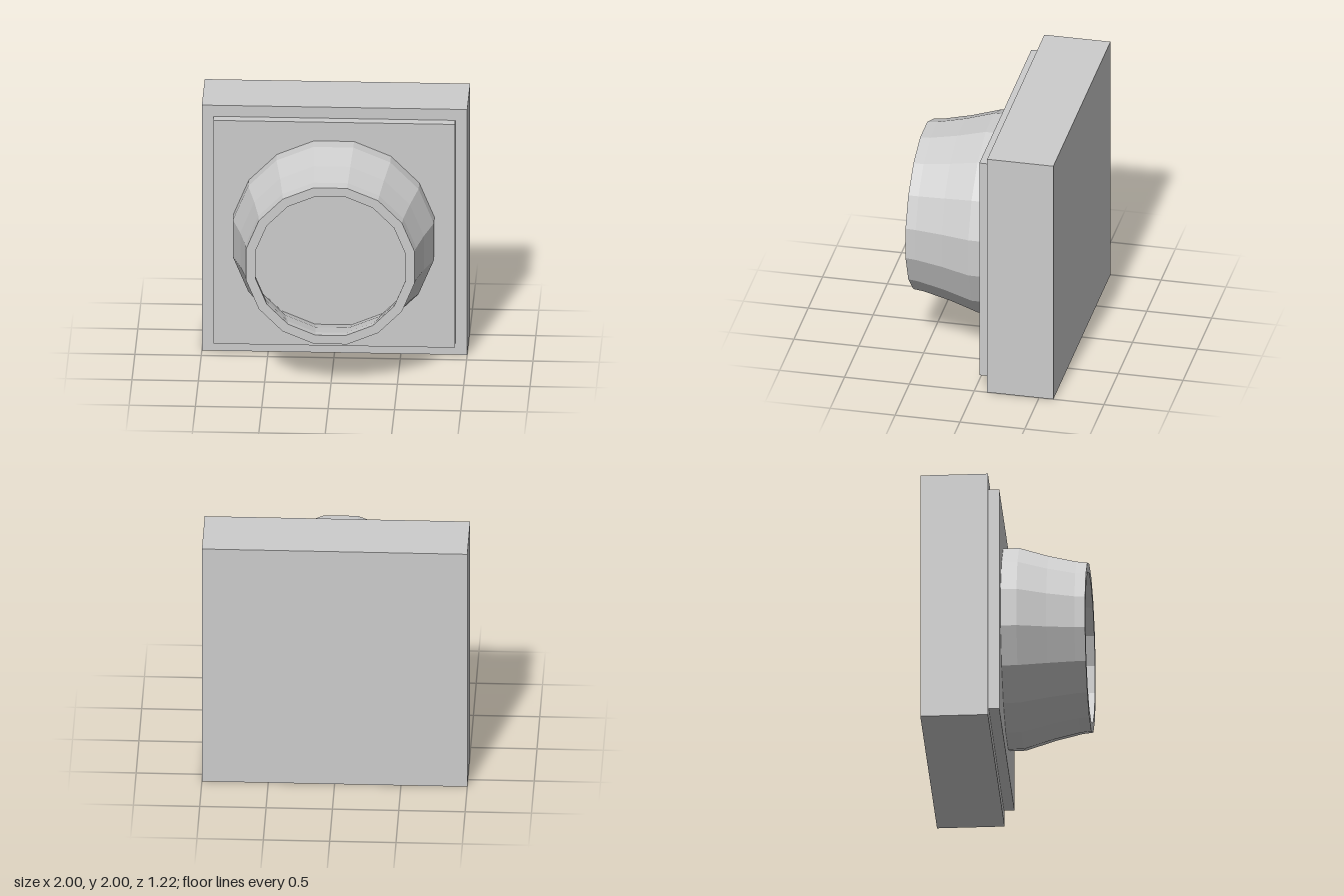
import * as THREE from 'three';

const grey = new THREE.MeshStandardMaterial({ color: 0xcccccc });
grey.name = 'light grey';

function block(name, width, height, zBack, zFront) {
  const mesh = new THREE.Mesh(new THREE.BoxGeometry(width, height, zFront - zBack), grey);
  mesh.name = name;
  mesh.position.set(0, 1, (zBack + zFront) / 2);
  return mesh;
}

export function createModel() {
  const model = new THREE.Group();
  model.name = 'wallSocket';

  // Square body with a slightly smaller raised plate
  model.add(block('body', 2, 2, -0.61, -0.1));
  model.add(block('frontPlate', 1.82, 1.82, -0.1, -0.02));

  // Hollow tapered collar: outer wall, rim, flaring inner wall, floor
  const profile = [
    [0.772, -0.02], [0.772, 0.1], [0.705, 0.32], [0.657, 0.53], [0.648, 0.61],
    [0.576, 0.61], [0.585, 0.53], [0.633, 0.32], [0.705, 0.09], [0, 0.09],
  ].map(([r, z]) => new THREE.Vector2(r, z));
  const geometry = new THREE.LatheGeometry(profile, 16, Math.PI / 16).toNonIndexed();
  geometry.computeVertexNormals(); // faceted sides
  geometry.rotateX(Math.PI / 2);
  const collar = new THREE.Mesh(geometry, grey);
  collar.name = 'collar';
  collar.position.y = 1;
  model.add(collar);

  return model;
}
